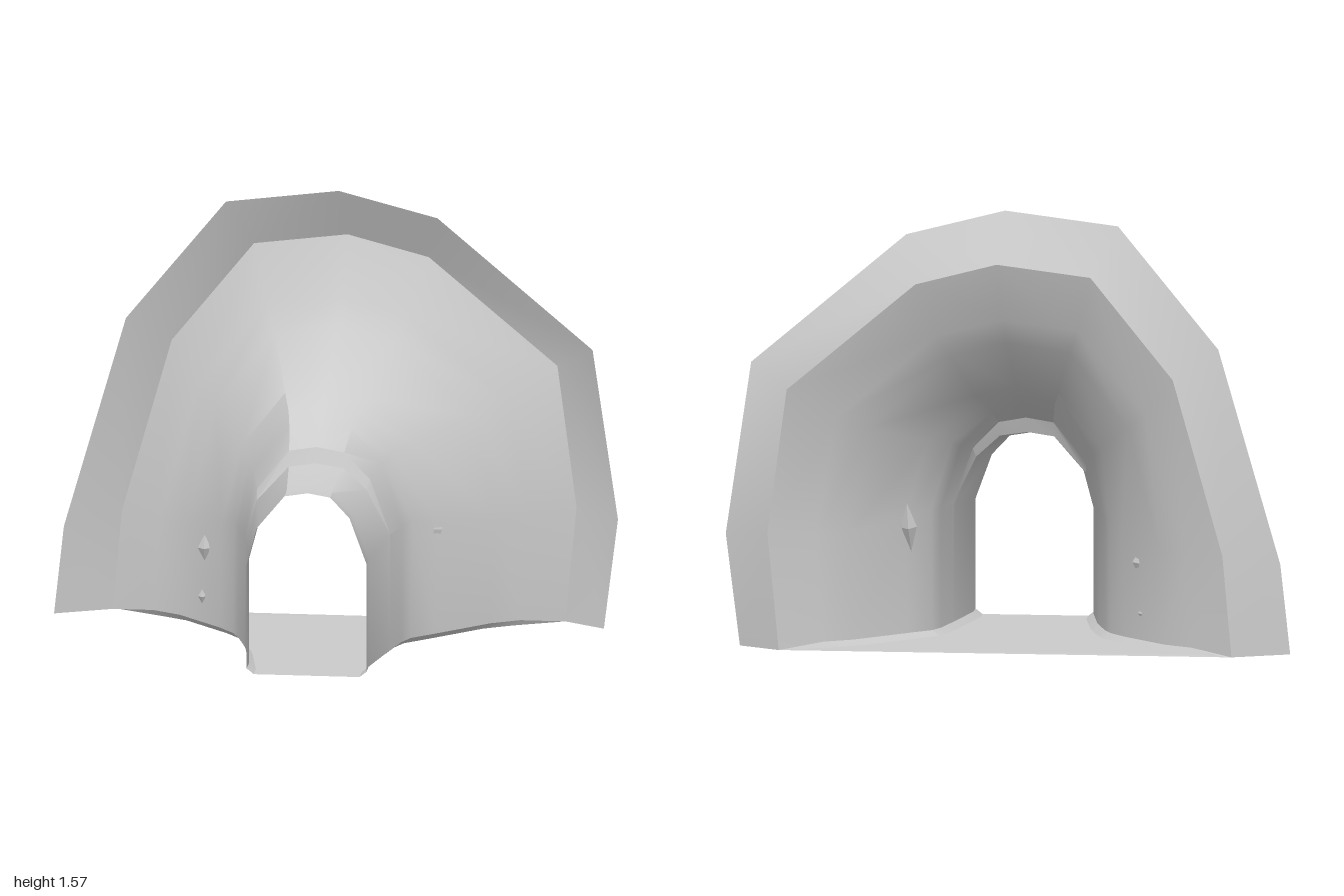
import * as THREE from 'three';
import { toCreasedNormals } from 'three/addons/utils/BufferGeometryUtils.js';

const material = new THREE.MeshStandardMaterial({ color: 0xcccccc, side: THREE.DoubleSide });
const { lerp } = THREE.MathUtils;

// Arch outlines from left foot over the crown to right foot; unit ones have half width 1 and height 1
const narrowArch = [[-1, 0], [-1, 0.6], [-0.85, 0.8], [-0.43, 0.98], [-0.08, 1], [0.32, 0.98], [0.68, 0.87], [1, 0.62], [1, 0]];
const wideArch = [[-1, 0], [-0.96, 0.26], [-0.74, 0.71], [-0.375, 0.97], [0.04, 1], [0.4, 0.946], [0.97, 0.67], [1.055, 0.3], [1.005, 0]];
const rimArch = [[-1, 0], [-0.965, 0.32], [-0.745, 1.085], [-0.39, 1.52], [0.01, 1.57], [0.36, 1.48], [0.91, 1.015], [1, 0.4], [0.95, 0]];

// Stations along the tunnel: depth, left width, right width, crown height, blend from narrow to wide
const stations = [
  [0.42, 0.235, 0.19, 0.665, 0],
  [0.35, 0.235, 0.19, 0.665, 0],
  [0.14, 0.27, 0.235, 0.7, 0],
  [0.12, 0.275, 0.24, 0.755, 0.1],
  [0, 0.31, 0.268, 0.815, 0.25],
  [-0.06, 0.335, 0.295, 0.855, 0.3],
  [-0.13, 0.39, 0.375, 0.905, 0.45],
  [-0.29, 0.55, 0.55, 1.09, 0.8],
  [-0.345, 0.65, 0.65, 1.18, 0.9],
  [-0.42, 0.8, 0.8, 1.39, 1],
];

// Blended arch at one station; the feet sit on a low sill except at the wide end
function section([z, left, right, crown, blend]) {
  const sill = blend < 1 ? 0.02 : 0;
  return narrowArch.map(([nx, ny], i) => {
    const x = lerp(nx, wideArch[i][0], blend);
    const y = lerp(ny, wideArch[i][1], blend);
    return [x * (x < 0 ? left : right), Math.max(y * crown, sill), z];
  });
}

// Skins a list of equal-length rows of points
function loft(name, rows, crease) {
  const n = rows[0].length;
  const index = [];
  for (let k = 0; k < rows.length - 1; k++) {
    for (let i = 0; i < n - 1; i++) {
      const a = k * n + i, b = a + 1, d = a + n, c = d + 1;
      index.push(a, b, c, a, c, d);
    }
  }
  const geometry = new THREE.BufferGeometry();
  geometry.setAttribute('position', new THREE.Float32BufferAttribute(rows.flat(2), 3));
  geometry.setIndex(index);
  const mesh = new THREE.Mesh(toCreasedNormals(geometry, crease), material);
  mesh.name = name;
  return mesh;
}

// Small pointed shard poking through the wall
function shard(name, x, y, z, w, h, d, tilt) {
  const mesh = new THREE.Mesh(toCreasedNormals(new THREE.OctahedronGeometry(1), 0.3), material);
  mesh.name = name;
  mesh.position.set(x, y, z);
  mesh.scale.set(w, h, d);
  mesh.rotation.set(-tilt, 0, -tilt * 0.5);
  return mesh;
}

export function createModel() {
  const group = new THREE.Group();
  group.name = 'flaredTunnel';

  // Narrow passage, stepped hood, then the flare
  const sections = stations.map(section);
  group.add(loft('tunnelWall', sections, 0.6));

  // Rim folded forward and outward from the wide end
  const rimEdge = rimArch.map(([x, y]) => [x, y, -0.335]);
  group.add(loft('rim', [sections.at(-1), rimEdge], 0.4));

  // Floor with narrow bevels up to the wall feet
  const floorRows = sections.map((row) => {
    const left = row[0], right = row.at(-1), z = left[2];
    return [left, [left[0] + 0.025, 0, z], [right[0] - 0.025, 0, z], right];
  });
  group.add(loft('floor', floorRows, 0.3));

  // Shards on the side walls
  group.add(
    shard('leftShard', 0.37, 0.4, -0.14, 0.028, 0.09, 0.024, 0.15),
    shard('rightShard', -0.45, 0.295, -0.185, 0.024, 0.047, 0.022, 0),
    shard('rightLowerShard', -0.46, 0.115, -0.195, 0.014, 0.026, 0.014, 0),
  );
  return group;
}
